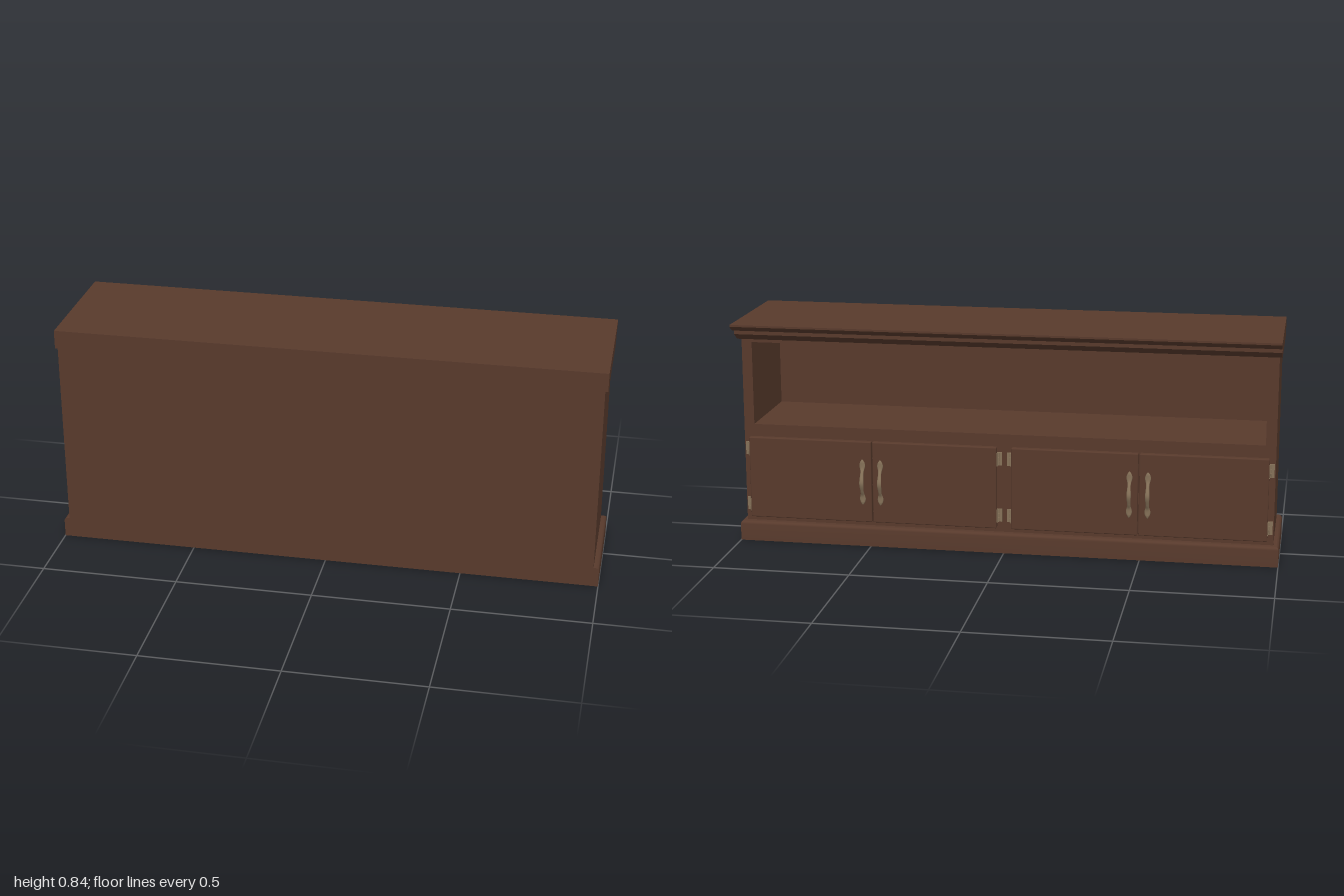
import * as THREE from 'three';
import { toCreasedNormals } from 'three/addons/utils/BufferGeometryUtils.js';
import { RoundedBoxGeometry } from 'three/addons/geometries/RoundedBoxGeometry.js';
import { ParametricGeometry } from 'three/addons/geometries/ParametricGeometry.js';

const BACK = 0.245, FACE = -0.14;

export function createModel() {
  const wood = new THREE.MeshStandardMaterial({ color: 0x583a2c });
  wood.name = 'dark walnut wood';
  const metal = new THREE.MeshStandardMaterial({ color: 0x857158 });
  metal.name = 'aged brass';

  const model = new THREE.Group();
  model.name = 'sideboard';

  const add = (parent, name, geometry, material) => {
    const mesh = new THREE.Mesh(geometry, material);
    mesh.name = name;
    parent.add(mesh);
    return mesh;
  };
  // box given by its minimum and maximum corners
  const box = (parent, name, [x0, y0, z0], [x1, y1, z1], material = wood) => {
    const mesh = add(parent, name, new THREE.BoxGeometry(x1 - x0, y1 - y0, z1 - z0), material);
    mesh.position.set((x0 + x1) / 2, (y0 + y1) / 2, (z0 + z1) / 2);
    return mesh;
  };

  // plinth: upper edge rounded on the door side and both ends, flat at the rear
  const rows = 6, radius = 0.012, plinthTop = 0.075;
  const plinth = new THREE.BoxGeometry(2, 1, 2, 1, rows, 1);
  const p = plinth.attributes.position;
  for (let i = 0; i < p.count; i++) {
    const row = Math.round((p.getY(i) + 0.5) * rows);
    const a = row === 0 ? 0 : ((row - 1) / (rows - 1)) * Math.PI / 2;
    const inset = radius * (1 - Math.cos(a));
    const y = row === 0 ? 0 : plinthTop - radius + radius * Math.sin(a);
    p.setXYZ(i, Math.sign(p.getX(i)) * (1 - inset), y, p.getZ(i) > 0 ? BACK : -0.165 + inset);
  }
  add(model, 'plinth', toCreasedNormals(plinth, 0.6), wood);

  // carcass with the open shelf above the cupboards
  box(model, 'cupboardCarcass', [-0.98, plinthTop, FACE], [0.98, 0.445, BACK]);
  box(model, 'rearPanel', [-0.942, 0.445, 0.22], [0.942, 0.77, BACK]);
  box(model, 'topRail', [-0.942, 0.755, FACE], [0.942, 0.77, 0.22]);
  box(model, 'leftSide', [0.942, 0.445, FACE], [0.98, 0.77, BACK]);
  box(model, 'rightSide', [-0.98, 0.445, FACE], [-0.942, 0.77, BACK]);

  // moulded top, its profile drawn as (depth, height) and run along the width
  const crown = new THREE.Shape([
    [-BACK, 0.77], [0.16, 0.77], [0.194, 0.794], [0.194, 0.812], [0.217, 0.812],
    [0.241, 0.827], [0.245, 0.831], [0.245, 0.838], [-BACK, 0.838],
  ].map(([z, y]) => new THREE.Vector2(z, y)));
  const crownGeometry = new THREE.ExtrudeGeometry(crown, { depth: 1.98, bevelEnabled: false });
  crownGeometry.rotateY(Math.PI / 2).translate(-0.99, 0, 0);
  add(model, 'mouldedTop', crownGeometry, wood);

  // bowed pull: a flattened sweep, broad at the feet and slim in the grip
  const path = new THREE.CatmullRomCurve3([
    [0.16, -0.167], [0.195, -0.168], [0.215, -0.177], [0.2475, -0.187],
    [0.28, -0.177], [0.3, -0.168], [0.335, -0.167],
  ].map(([y, z]) => new THREE.Vector3(0, y, z)));
  const pull = new ParametricGeometry((u, v, out) => {
    const c = path.getPointAt(v), t = path.getTangentAt(v);
    const angle = u * Math.PI * 2;
    const end = Math.sqrt(Math.max(0, Math.min(1, v / 0.06, (1 - v) / 0.06)));
    const foot = Math.exp(-(((Math.abs(v - 0.5) - 0.37) / 0.09) ** 2));
    const grip = Math.exp(-(((v - 0.5) / 0.18) ** 2));
    const w = Math.cos(angle) * end * (0.005 + 0.006 * foot + 0.003 * grip);
    const d = Math.sin(angle) * end * 0.0042;
    out.set(w, c.y + t.z * d, c.z - t.y * d);
  }, 14, 40);

  // four doors: hinged at the ends and the centre, meeting in pairs
  for (const side of [1, -1]) {
    for (const outer of [true, false]) {
      const door = new THREE.Group();
      door.name = (side > 0 ? 'left' : 'right') + (outer ? 'Outer' : 'Inner') + 'Door';
      model.add(door);

      const hingeX = side * (outer ? 0.958 : 0.027), meetX = side * (outer ? 0.4945 : 0.4905);
      const away = Math.sign(hingeX - meetX);
      const width = Math.abs(hingeX - meetX);
      const panel = add(door, 'doorPanel', new RoundedBoxGeometry(width, 0.307, 0.023, 3, 0.004), wood);
      panel.position.set((hingeX + meetX) / 2, 0.2465, FACE - 0.0115);

      add(door, 'handle', pull, metal).position.x = side * (outer ? 0.527 : 0.46);

      // two hinges: leaf on the door edge, leaf on the frame, knuckles between
      for (const y of [0.353, 0.139]) {
        const hinge = new THREE.Group();
        hinge.name = 'hinge';
        hinge.position.set(hingeX, y, FACE);
        hinge.scale.x = 1;
        door.add(hinge);
        const doorLeaf = add(hinge, 'doorLeaf', new THREE.BoxGeometry(0.003, 0.05, 0.017), metal);
        doorLeaf.position.set(away * 0.0015, 0, -0.0095);
        const frameLeaf = add(hinge, 'frameLeaf', new THREE.BoxGeometry(0.016, 0.05, 0.003), metal);
        frameLeaf.position.set(away * 0.01, 0, -0.0015);
        for (const k of [-1, 0, 1]) {
          const knuckle = add(hinge, 'knuckle', new THREE.CylinderGeometry(0.0035, 0.0035, 0.015, 12), metal);
          knuckle.position.set(away * 0.005, k * 0.0165, -0.005);
        }
      }
    }
  }
  return model;
}
